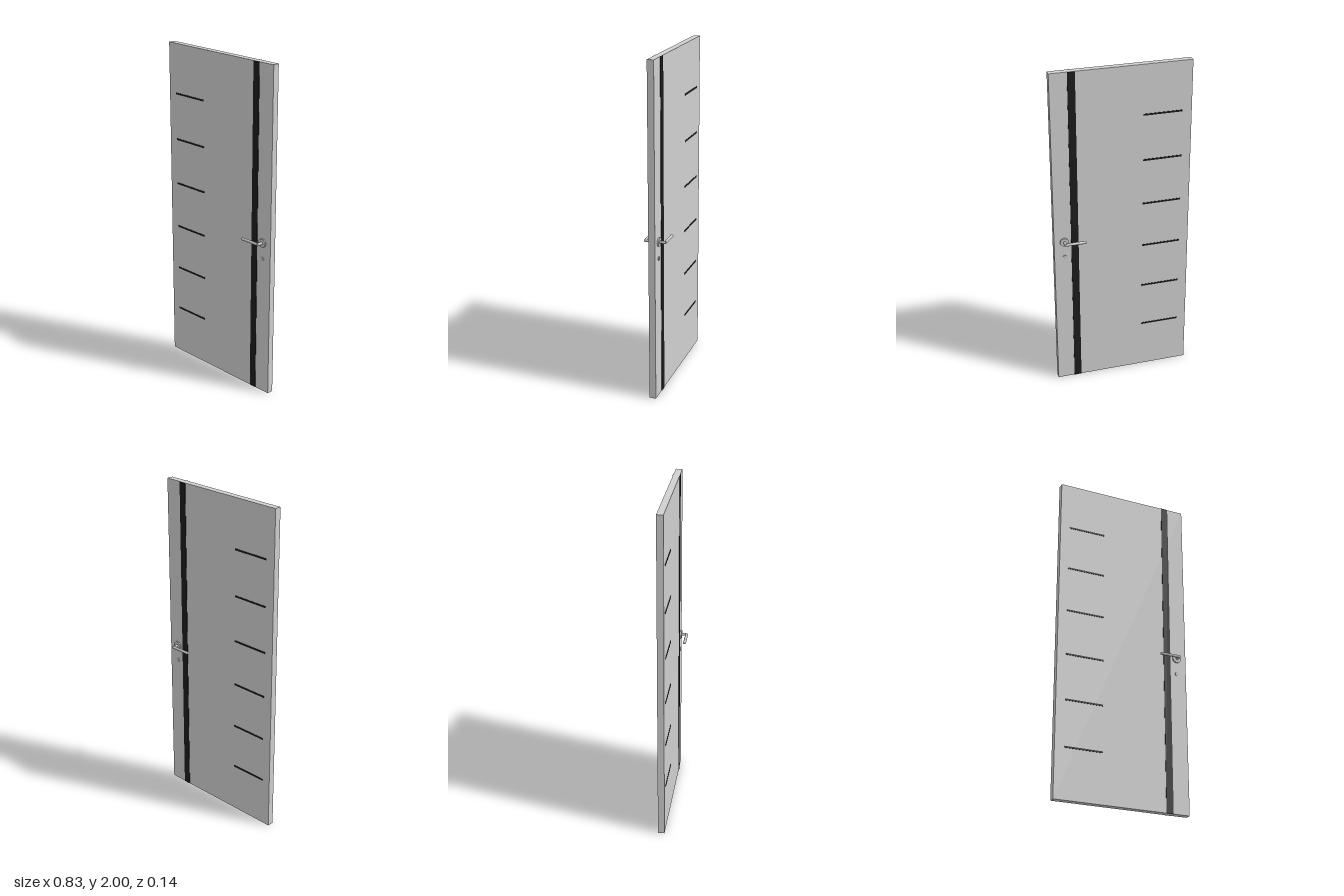
import * as THREE from 'three';

export function createModel() {
  const door = new THREE.Group();
  door.name = 'door';

  const panelGrey = new THREE.MeshStandardMaterial({ color: 0xd0d0d1 });
  panelGrey.name = 'panel grey';
  const trimBlack = new THREE.MeshStandardMaterial({ color: 0x1c1c1c });
  trimBlack.name = 'trim black';
  const handleMetal = new THREE.MeshStandardMaterial({ color: 0xc4c4c0 });
  handleMetal.name = 'handle metal';

  const HALF = 0.0195; // half the panel thickness
  const HANDLE_X = 0.352;
  const HANDLE_Y = 0.96;

  function add(parent, name, geometry, material, x, y, z) {
    const mesh = new THREE.Mesh(geometry, material);
    mesh.name = name;
    mesh.position.set(x, y, z);
    parent.add(mesh);
  }

  // Round part lying along z, from z0 to z1
  function disc(parent, name, radius, z0, z1, x, y) {
    const geometry = new THREE.CylinderGeometry(radius, radius, z1 - z0, 32);
    geometry.rotateX(Math.PI / 2);
    add(parent, name, geometry, handleMetal, x, y, (z0 + z1) / 2);
  }

  // Door leaf
  add(door, 'panel', new THREE.BoxGeometry(0.826, 2, HALF * 2), panelGrey, 0, 1, 0);

  for (const [side, s] of [['front', 1], ['back', -1]]) {
    // Black trim on each face
    add(door, side + 'VerticalStripe', new THREE.BoxGeometry(0.044, 2, 0.003), trimBlack,
      0.2885, 1, s * (HALF + 0.001));
    for (let i = 0; i < 6; i++) {
      add(door, side + 'HorizontalStrip' + (i + 1), new THREE.BoxGeometry(0.232, 0.01, 0.003), trimBlack,
        -0.2415, 0.302 + i * 0.28, s * (HALF + 0.001));
    }

    // Handle set, turned over the x axis for the back
    const handle = new THREE.Group();
    handle.name = side + 'Handle';
    handle.position.set(HANDLE_X, HANDLE_Y, 0);
    if (s < 0) handle.rotation.x = Math.PI;

    disc(handle, 'rosette', 0.026, HALF - 0.002, 0.028, 0, 0);
    disc(handle, 'neck', 0.008, 0.026, 0.064, 0, 0);

    // Lever pointing towards the middle of the door, with a rounded tip
    const bar = new THREE.CylinderGeometry(0.0085, 0.0085, 0.112, 24);
    bar.rotateZ(Math.PI / 2);
    add(handle, 'lever', bar, handleMetal, -0.061, 0, 0.059);
    add(handle, 'leverTip', new THREE.SphereGeometry(0.009, 24, 16), handleMetal, -0.117, 0, 0.059);

    // Lock cylinder below the lever
    disc(handle, 'lockCylinder', 0.0115, HALF - 0.002, 0.0245, 0, s * -0.1);
    door.add(handle);
  }

  return door;
}
